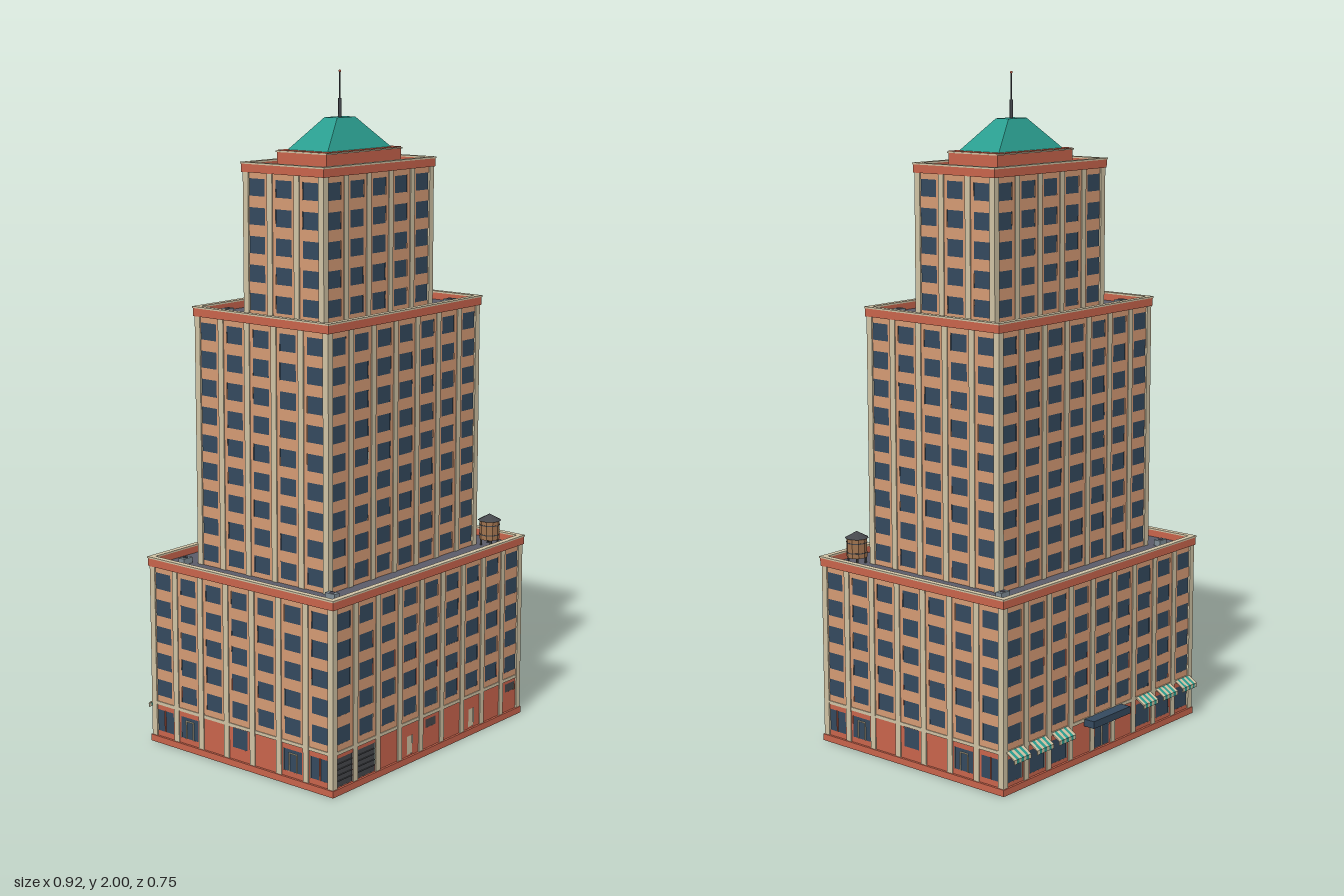
import * as THREE from 'three';

const paint = (name, color) =>
  new THREE.MeshStandardMaterial({ name, color, side: THREE.DoubleSide });

const CELL = 0.1015; // width of one window bay
const FLOOR = 0.083; // storey height

export function createModel() {
  const mat = {
    cream: paint('cream stone', 0xcfc2a4),
    brick: paint('tan brick', 0xd49a74),
    red: paint('red terracotta', 0xc8644c),
    glass: paint('blue glass', 0x34495e),
    deck: paint('roof grey', 0x5a5b69),
    teal: paint('teal', 0x2a9d8f),
    wood: paint('wood', 0xa0734f),
    metal: paint('light metal', 0x7f8c95),
    dark: paint('dark metal', 0x46484d),
  };

  const building = new THREE.Group();
  building.name = 'tower';
  building.position.z = 0.0125;

  const add = (parent, name, geo, material, x = 0, y = 0, z = 0) => {
    const m = new THREE.Mesh(geo, material);
    m.name = name;
    m.position.set(x, y, z);
    parent.add(m);
    return m;
  };
  const box = (parent, name, material, w, h, d, x, y, z) =>
    add(parent, name, new THREE.BoxGeometry(w, h, d), material, x, y, z);

  const rect = (Type, x0, y0, x1, y1) => {
    const p = new Type();
    p.moveTo(x0, y0).lineTo(x1, y0).lineTo(x1, y1).lineTo(x0, y1).closePath();
    return p;
  };

  // Rectangular frame lying flat, from y to y + h
  const ring = (parent, name, material, hx, hz, t, y, h) => {
    const s = rect(THREE.Shape, -hx, -hz, hx, hz);
    s.holes.push(rect(THREE.Path, -hx + t, -hz + t, hx - t, hz - t));
    const g = new THREE.ExtrudeGeometry(s, { depth: h, bevelEnabled: false });
    add(parent, name, g.rotateX(-Math.PI / 2), material, 0, y, 0);
  };

  // Thin wall facing +z, with openings filled by plates
  const wall = (parent, name, material, half, y0, y1, z, openings) => {
    const s = rect(THREE.Shape, -half, y0, half, y1);
    for (const o of openings) {
      s.holes.push(rect(THREE.Path, o.x - o.w / 2, o.y - o.h / 2, o.x + o.w / 2, o.y + o.h / 2));
      add(parent, o.name, new THREE.PlaneGeometry(o.w + 0.002, o.h + 0.002), o.m, o.x, o.y, z - 0.002);
    }
    add(parent, name, new THREE.ShapeGeometry(s), material, 0, 0, z);
  };

  // Four sides of a storey block; visit(side, columns, half width, half depth, index)
  const fourSides = (parent, nx, nz, visit) => {
    for (let k = 0; k < 4; k++) {
      const side = new THREE.Group();
      side.name = ['frontSide', 'leftSide', 'backSide', 'rightSide'][k];
      side.rotation.y = (k * Math.PI) / 2;
      parent.add(side);
      const [n, d] = k % 2 ? [nz, nx] : [nx, nz];
      visit(side, n, (n * CELL) / 2, (d * CELL) / 2, k);
    }
  };
  const bay = (i, n) => (i - (n - 1) / 2) * CELL;

  // Stepped tiers: bays wide, bays deep, storeys, bottom, top, foot of the piers
  const tiers = [
    { name: 'lowerTier', nx: 9, nz: 7, rows: 5, y0: 0.125, y1: 0.548, foot: 0.02 },
    { name: 'middleTier', nx: 7, nz: 5, rows: 9, y0: 0.548, y1: 1.297, foot: 0.548 },
    { name: 'upperTier', nx: 5, nz: 3, rows: 5, y0: 1.297, y1: 1.714, foot: 1.297 },
  ];
  for (const t of tiers) {
    const g = new THREE.Group();
    g.name = t.name;
    building.add(g);
    const hx = (t.nx * CELL) / 2, hz = (t.nz * CELL) / 2, pierH = t.y1 - t.foot;
    fourSides(g, t.nx, t.nz, (side, n, half, dist) => {
      const windows = [];
      for (let r = 0; r < t.rows; r++)
        for (let i = 0; i < n; i++)
          windows.push({ name: 'window', m: mat.glass, x: bay(i, n), y: t.y1 - 0.043 - r * FLOOR, w: 0.06, h: 0.05 });
      wall(side, 'brickWall', mat.brick, half - 0.004, t.y0, t.y1, dist - 0.004, windows);
      for (let i = 1; i < n; i++)
        box(side, 'pier', mat.cream, 0.02, pierH, 0.003, -half + i * CELL, t.foot + pierH / 2, dist - 0.0015);
    });
    for (const sx of [-1, 1]) for (const sz of [-1, 1])
      box(g, 'cornerPier', mat.cream, 0.02, pierH, 0.02, sx * (hx - 0.01), t.foot + pierH / 2, sz * (hz - 0.01));
    // Roof deck and parapet
    box(g, 'roofDeck', mat.deck, 2 * hx - 0.01, 0.004, 2 * hz - 0.01, 0, t.y1, 0);
    ring(g, 'parapet', mat.red, hx + 0.003, hz + 0.003, 0.014, t.y1 - 0.001, 0.024);
    ring(g, 'coping', mat.cream, hx + 0.005, hz + 0.005, 0.018, t.y1 + 0.023, 0.005);
  }

  // Ground floor: shopfronts, garages and doors in a red base
  const ground = new THREE.Group();
  ground.name = 'groundFloor';
  building.add(ground);
  fourSides(ground, 9, 7, (side, n, half, dist, k) => {
    const o = [];
    const put = (name, m, i, y, w, h) => o.push({ name, m, x: bay(i, n), y, w, h });
    if (k === 0) {
      for (const i of [0, 1]) {
        put('garageDoor', mat.dark, i, 0.065, 0.08, 0.085);
        for (let j = 0; j < 4; j++)
          box(side, 'garageSlat', mat.dark, 0.078, 0.002, 0.003, bay(i, n), 0.04 + j * 0.017, dist - 0.004);
      }
      for (const i of [3, 6]) put('serviceDoor', mat.cream, i, 0.053, 0.026, 0.056);
      for (const i of [4, 8]) put('vent', mat.dark, i, 0.096, 0.05, 0.026);
    } else if (k === 2) {
      for (const i of [0, 1, 2, 6, 7, 8]) put('shopWindow', mat.glass, i, 0.067, 0.068, 0.07);
      put('entranceDoor', mat.glass, 4, 0.062, 0.068, 0.08);
      box(side, 'doorPost', mat.cream, 0.004, 0.08, 0.003, 0, 0.062, dist - 0.004);
    } else {
      for (const i of [0, 1, 5, 6]) put('shopWindow', mat.glass, i, 0.07, 0.07, 0.066);
      put('sideWindow', mat.glass, 3, 0.087, 0.058, 0.06);
      for (const i of [1, 5]) {
        for (const s of [-1, 1])
          box(side, 'doorFrame', mat.cream, 0.003, 0.055, 0.003, bay(i, n) + s * 0.014, 0.064, dist - 0.004);
        box(side, 'doorHead', mat.cream, 0.031, 0.003, 0.003, bay(i, n), 0.091, dist - 0.004);
      }
      for (const i of [0, 6])
        box(side, 'mullion', mat.red, 0.004, 0.066, 0.003, bay(i, n), 0.07, dist - 0.004);
    }
    wall(side, 'baseWall', mat.red, half - 0.004, 0.001, 0.125, dist - 0.004, o);
    box(side, 'stringCourse', mat.cream, 2 * half - 0.008, 0.01, 0.0025, 0, 0.124, dist - 0.0023);

    if (k !== 2) return;
    // Striped awnings and the entrance canopy
    for (const i of [0, 1, 2, 6, 7, 8])
      for (let j = 0; j < 7; j++) {
        const x = bay(i, n) + (j - 3) * 0.0107, m = j % 2 ? mat.teal : mat.cream;
        const slope = box(side, 'awningStripe', m, 0.0107, 0.003, 0.035, x, 0.117, dist + 0.013);
        slope.rotation.x = 0.55;
        box(side, 'awningValance', m, 0.0107, 0.012, 0.002, x, 0.102, dist + 0.0275);
      }
    box(side, 'canopy', mat.glass, 0.177, 0.022, 0.037, 0, 0.117, dist + 0.0165);
  });
  ring(ground, 'plinth', mat.red, 4.5 * CELL + 0.003, 3.5 * CELL + 0.003, 0.007, 0, 0.02);

  // Penthouse with hipped roof and mast
  const crown = new THREE.Group();
  crown.name = 'crown';
  building.add(crown);
  box(crown, 'penthouse', mat.red, 0.342, 0.06, 0.186, 0, 1.744, 0);
  ring(crown, 'penthouseTrim', mat.cream, 0.174, 0.096, 0.004, 1.768, 0.004);
  const hip = new THREE.BoxGeometry(2, 0.091, 2);
  const p = hip.attributes.position;
  for (let i = 0; i < p.count; i++) {
    const [w, d] = p.getY(i) > 0 ? [0.041, 0.024] : [0.146, 0.076];
    p.setX(i, p.getX(i) * w);
    p.setZ(i, p.getZ(i) * d);
  }
  hip.computeVertexNormals();
  add(crown, 'hippedRoof', hip, mat.teal, 0, 1.8185, 0);
  add(crown, 'mastBase', new THREE.CylinderGeometry(0.005, 0.005, 0.055, 8), mat.dark, 0, 1.89, 0);
  add(crown, 'mast', new THREE.CylinderGeometry(0.0025, 0.0025, 0.08, 8), mat.dark, 0, 1.953, 0);
  add(crown, 'beacon', new THREE.SphereGeometry(0.004, 8, 6), mat.red, 0, 1.996, 0);

  // Rooftop vents: x, z, roof height, turn
  for (const [x, z, y, turn] of [
    [-0.377, -0.284, 0.55, 0], [0.376, -0.284, 0.55, 0], [-0.377, 0.286, 0.55, 1],
    [-0.285, -0.19, 1.299, 0], [0.284, 0.192, 1.299, 0],
  ]) {
    const unit = new THREE.Group();
    unit.name = 'roofVent';
    unit.position.set(x, y, z);
    unit.rotation.y = (turn * Math.PI) / 2;
    building.add(unit);
    box(unit, 'ventBox', mat.metal, 0.036, 0.018, 0.022, 0, 0.009, 0);
    add(unit, 'ventFan', new THREE.CylinderGeometry(0.008, 0.008, 0.002, 10), mat.deck, 0, 0.0185, 0);
  }

  // Water tank on legs
  const tank = new THREE.Group();
  tank.name = 'waterTank';
  tank.position.set(0.376, 0.55, 0.287);
  building.add(tank);
  const drum = (name, m, r0, r1, h, y) =>
    add(tank, name, new THREE.CylinderGeometry(r0, r1, h, 10).toNonIndexed(), m, 0, y, 0).geometry.computeVertexNormals();
  drum('tankBody', mat.wood, 0.031, 0.031, 0.06, 0.05);
  for (const y of [0.035, 0.065]) drum('tankHoop', mat.dark, 0.0318, 0.0318, 0.003, y);
  drum('tankRoof', mat.dark, 0.001, 0.036, 0.019, 0.0885);
  for (const sx of [-1, 1]) for (const sz of [-1, 1])
    box(tank, 'tankLeg', mat.dark, 0.005, 0.022, 0.005, sx * 0.018, 0.011, sz * 0.018);

  const model = new THREE.Group();
  model.name = 'building';
  model.add(building);
  return model;
}
